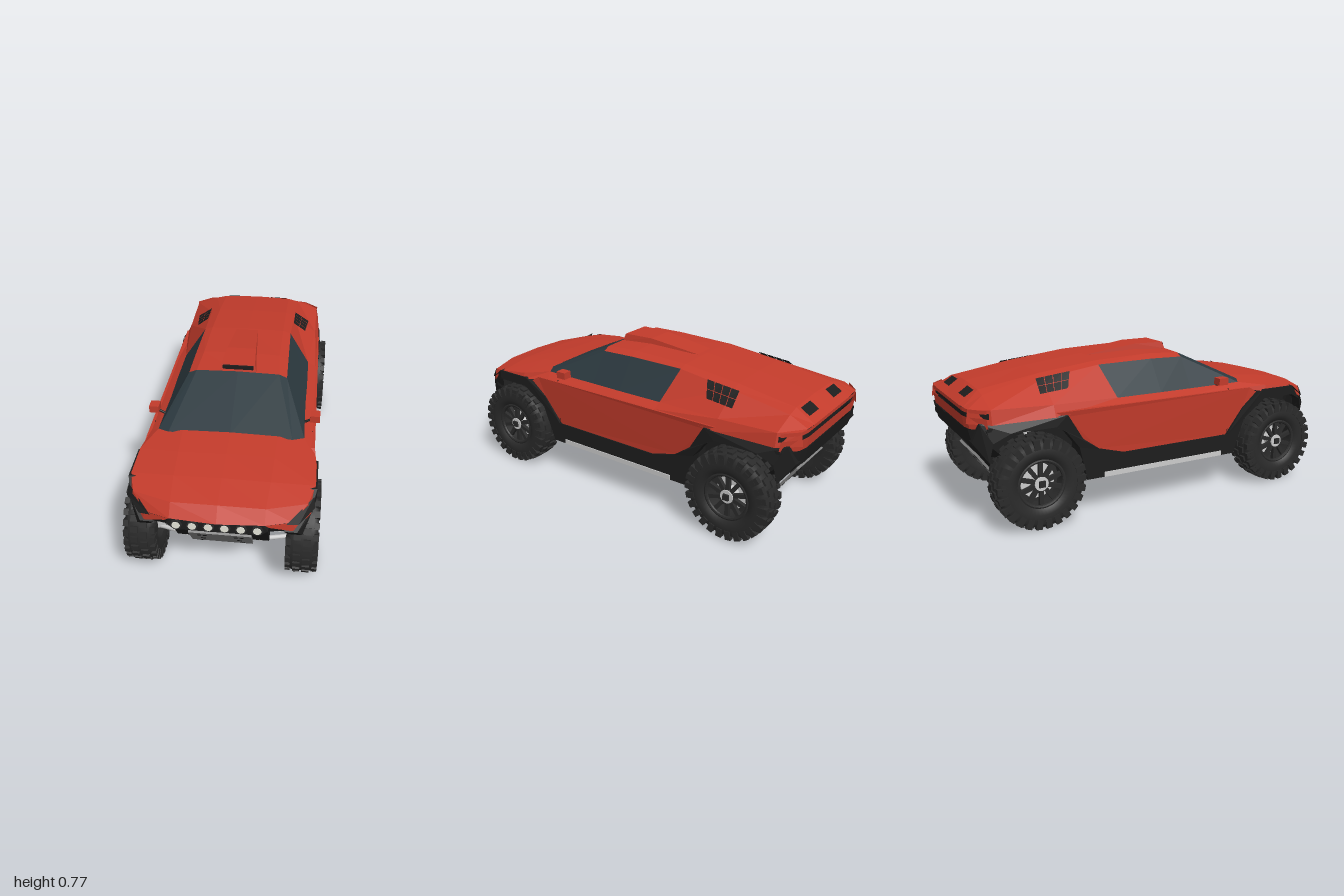
import * as THREE from 'three';
import { ConvexGeometry } from 'three/addons/geometries/ConvexGeometry.js';

const mat = (color, flatShading = true) =>
  new THREE.MeshStandardMaterial({ color, flatShading, side: THREE.DoubleSide });
const RED = mat(0xc23b2b), BLACK = mat(0x1d1d1d), GLASS = mat(0x2b383e), GREY = mat(0xcccccc, false);
const DARK = mat(0x2b2b2b), TYRE = mat(0x2a2a2a, false), PLATE = mat(0x808080), LAMP = mat(0xe8e8dc);
const V = (p) => new THREE.Vector3(...p);

export function createModel() {
  const car = new THREE.Group();
  car.name = 'rallyCar';

  const add = (name, geo, material, pos = [0, 0, 0], parent = car) => {
    const m = new THREE.Mesh(geo, material);
    m.name = name;
    m.position.set(...pos);
    parent.add(m);
    return m;
  };
  const box = (name, size, pos, material, parent) => add(name, new THREE.BoxGeometry(...size), material, pos, parent);
  const rod = (name, a, b, r, material, parent) => {
    const A = V(a), d = V(b).sub(A);
    const m = add(name, new THREE.CylinderGeometry(r, r, d.length(), 12), material, [0, 0, 0], parent);
    m.position.copy(A).addScaledVector(d, 0.5);
    m.quaternion.setFromUnitVectors(new THREE.Vector3(0, 1, 0), d.normalize());
  };
  // Panel stretched between two lines of points, made on both sides
  const panel = (name, a, b, material) => {
    for (const s of [1, -1]) {
      const [p, q] = (s > 0 ? [a, b] : [b, a]).map((l) => l.map(([x, y, z]) => [x * s, y, z]));
      const v = [];
      for (let i = 0; i < p.length - 1; i++) v.push(...p[i], ...q[i], ...p[i + 1], ...p[i + 1], ...q[i], ...q[i + 1]);
      const g = new THREE.BufferGeometry();
      g.setAttribute('position', new THREE.Float32BufferAttribute(v, 3));
      g.computeVertexNormals();
      add(name, g, material);
    }
  };
  // Half width of the flanks along the length
  const widths = [[-1, 0.31], [-0.93, 0.385], [-0.85, 0.405], [-0.58, 0.408], [-0.48, 0.395], [0.42, 0.395],
    [0.6, 0.425], [0.8, 0.425], [0.88, 0.4], [0.96, 0.34]];
  const halfWidth = (z) => {
    if (z <= widths[0][0]) return widths[0][1];
    for (let i = 1; i < widths.length; i++) {
      const [z0, w0] = widths[i - 1], [z1, w1] = widths[i];
      if (z <= z1) return w0 + (w1 - w0) * (z - z0) / (z1 - z0);
    }
    return widths[widths.length - 1][1];
  };
  const extrude = (pts, depth) => new THREE.ExtrudeGeometry(
    new THREE.Shape(pts.map((p) => new THREE.Vector2(...p))), { depth, bevelEnabled: false }).rotateY(-Math.PI / 2);
  // Side outline (z, y) that follows the flank, on both sides
  const flank = (name, pts, depth, inset, material) => {
    for (const s of [1, -1]) {
      const g = extrude(pts, depth), p = g.attributes.position;
      for (let i = 0; i < p.count; i++) p.setX(i, s * (p.getX(i) + halfWidth(p.getZ(i)) - inset));
      g.computeVertexNormals();
      add(name, g, material);
    }
  };

  // Bonnet and nose
  const bonnetMid = [[0, 0.46, 1], [0, 0.52, 0.945], [0, 0.553, 0.8], [0, 0.575, 0.65], [0, 0.59, 0.5]];
  const bonnetRidge = [[0.21, 0.46, 0.985], [0.21, 0.515, 0.94], [0.22, 0.55, 0.8], [0.225, 0.57, 0.65], [0.23, 0.585, 0.5]];
  const wing = [[0.33, 0.45, 0.94], [0.39, 0.51, 0.88], [0.42, 0.532, 0.78], [0.415, 0.55, 0.62], [0.355, 0.57, 0.48]];
  const wingHem = [[0.34, 0.405, 0.94], [0.405, 0.455, 0.88], [0.428, 0.51, 0.78], [0.425, 0.515, 0.62], [0.394, 0.545, 0.46]];
  panel('bonnet', bonnetMid, bonnetRidge, RED);
  panel('frontWingTop', bonnetRidge, wing, RED);
  panel('frontWingSide', wing, wingHem, RED);
  panel('noseCorner', [[0.21, 0.46, 0.985], [0.33, 0.45, 0.942]], [[0.23, 0.445, 0.98], [0.34, 0.4, 0.942]], RED);
  panel('headlight', [[0.30, 0.452, 0.962], [0.415, 0.528, 0.85]], [[0.355, 0.44, 0.942], [0.422, 0.48, 0.87]], BLACK);

  // Roof, buttresses and tail
  const roofMid = [[0, 0.74, 0.18], [0, 0.75, 0], [0, 0.737, -0.3], [0, 0.703, -0.6], [0, 0.657, -0.9], [0, 0.592, -0.995]];
  const roofRail = [[0.21, 0.735, 0.18], [0.2, 0.742, 0], [0.2, 0.732, -0.3], [0.2, 0.698, -0.6], [0.2, 0.65, -0.9], [0.2, 0.592, -0.995]];
  const roofEdge = [[0.25, 0.718, 0.18], [0.247, 0.722, 0], [0.242, 0.718, -0.3], [0.25, 0.68, -0.6], [0.26, 0.635, -0.9], [0.26, 0.59, -0.99]];
  const belt = [[0.35, 0.567, 0.18], [0.352, 0.567, 0], [0.35, 0.567, -0.25], [0.38, 0.58, -0.6], [0.38, 0.592, -0.9], [0.31, 0.588, -0.985]];
  const hem = [[0.394, 0.545, 0.18], [0.394, 0.545, 0], [0.394, 0.545, -0.25], [0.405, 0.525, -0.6], [0.395, 0.525, -0.9], [0.31, 0.525, -0.995]];
  panel('roof', roofMid, roofRail, RED);
  panel('roofRail', roofRail, roofEdge, RED);
  panel('rearButtress', roofEdge.slice(2), belt.slice(2), RED);
  panel('beltLine', [wing[4], ...belt], [wingHem[4], ...hem], RED);

  // Glass
  panel('windscreen', [roofMid[0], roofRail[0], roofEdge[0]], [[0, 0.585, 0.51], [0.3, 0.577, 0.51], wing[4]], GLASS);
  panel('sideWindow', [roofEdge[0], ...roofEdge.slice(0, 3)], [wing[4], ...belt.slice(0, 3)], GLASS);

  // Doors, arch trims and sills
  flank('door', [[0.52, 0.545], [-0.6, 0.545], [-0.54, 0.52], [-0.46, 0.4], [-0.38, 0.34], [-0.24, 0.3], [0.38, 0.3],
    [0.48, 0.44], [0.56, 0.52]], 0.04, 0.003, RED);
  flank('archTrim', [[0.95, 0.4], [0.88, 0.475], [0.8, 0.53], [0.6, 0.53], [0.48, 0.44], [0.39, 0.3], [-0.24, 0.3],
    [-0.37, 0.335], [-0.46, 0.4], [-0.54, 0.53], [-0.95, 0.53], [-0.98, 0.44], [-0.92, 0.35], [-0.9, 0.44],
    [-0.82, 0.48], [-0.6, 0.48], [-0.55, 0.45], [-0.48, 0.36], [-0.44, 0.19], [0.43, 0.19], [0.49, 0.38],
    [0.61, 0.48], [0.8, 0.48], [0.88, 0.44], [0.92, 0.36]], 0.06, -0.003, BLACK);
  for (const s of [1, -1]) {
    box('sillStrip', [0.03, 0.025, 0.7], [s * 0.388, 0.203, 0], GREY);
    box('doorSeam', [0.004, 0.25, 0.004], [s * 0.392, 0.425, 0.39], BLACK);
  }

  // Floor, centre tub and wheel wells
  box('floor', [0.77, 0.3, 0.86], [0, 0.34, -0.01], BLACK);
  add('tub', extrude([[0.94, 0.44], [0.9, 0.34], [0.79, 0.18], [-0.79, 0.18], [-0.9, 0.34], [-0.95, 0.44], [-0.95, 0.52],
    [0.85, 0.5]], 0.44), BLACK, [0.22, 0, 0]);
  box('frontWellTop', [0.8, 0.015, 0.4], [0, 0.49, 0.65], BLACK);
  box('rearWellTop', [0.77, 0.015, 0.4], [0, 0.5, -0.72], BLACK);

  // Front bumper with lamp bar
  panel('frontBumper', [[0, 0.46, 0.99], [0.22, 0.455, 0.975], [0.33, 0.42, 0.935], [0.4, 0.45, 0.885]],
    [[0, 0.39, 0.95], [0.22, 0.385, 0.94], [0.33, 0.365, 0.9], [0.39, 0.41, 0.88]], BLACK);
  panel('frontBumperUnder', [[0, 0.39, 0.95], [0.22, 0.385, 0.94], [0.33, 0.365, 0.9]],
    [[0, 0.4, 0.8], [0.22, 0.4, 0.8], [0.33, 0.42, 0.82]], BLACK);
  add('lampBar', new ConvexGeometry([[0.2, 0.458], [0.225, 0.43], [0.19, 0.4]].flatMap(([x, y]) =>
    [1, -1].flatMap((s) => [V([s * x, y, 0.985]), V([s * x, y, 0.93])]))), BLACK);
  for (let i = 0; i < 6; i++) {
    const x = (i - 2.5) * 0.0715;
    add('lampRing', new THREE.CylinderGeometry(0.026, 0.026, 0.02, 8).rotateX(Math.PI / 2), DARK, [x, 0.432, 0.983]);
    add('lamp', new THREE.CylinderGeometry(0.019, 0.019, 0.022, 8).rotateX(Math.PI / 2), LAMP, [x, 0.432, 0.985]);
  }

  // Tail: dark light slot, red band, black bumper
  const tail = (y, z, w = 0.31) => [[0, y, z], [w - 0.05, y, z], [w, y, z + 0.01], [w + 0.075, y, z + 0.075]];
  panel('tailLip', tail(0.592, -0.995), tail(0.575, -0.995), RED);
  panel('tailSlot', tail(0.577, -0.985), tail(0.55, -0.985), BLACK);
  panel('tailBand', tail(0.555, -0.997), tail(0.5, -0.99), RED);
  panel('rearBumper', tail(0.5, -0.998), tail(0.42, -0.98), BLACK);
  panel('rearBumperLower', tail(0.42, -0.98), tail(0.35, -0.91, 0.28), BLACK);

  // Slotted skid plates
  for (const s of [1, -1]) {
    const end = new THREE.Group(), plate = new THREE.Group();
    end.name = s > 0 ? 'frontSkidPlate' : 'rearSkidPlate';
    end.rotation.y = s > 0 ? 0 : Math.PI;
    plate.position.set(0, 0.245, 0.855);
    plate.rotation.x = 0.62;
    box('plate', [0.29, 0.172, 0.012], [0, 0, 0], PLATE, plate);
    for (const k of [1, -1]) for (const [x, y, w] of [[0.072, 0.05, 0.018], [0.098, 0.05, 0.018], [0.085, -0.017, 0.02], [0.1, -0.068, 0.014]])
      box('slot', [w, w * 1.3, 0.004], [k * x, y, 0.006], BLACK, plate);
    end.add(plate);
    car.add(end);
  }

  // Roof scoop, louvres and mirrors
  add('roofScoop', new ConvexGeometry([1, -1].flatMap((s) => [[0.093, 0.74, 0.175], [0.085, 0.774, 0.165], [0.075, 0.775, 0],
    [0.06, 0.738, -0.28], [0.08, 0.73, 0]].map(([x, y, z]) => V([s * x, y, z])))), RED);
  box('scoopIntake', [0.155, 0.02, 0.01], [0, 0.758, 0.17], BLACK);
  const [va, vb, vc, vd] = [[0.252, 0.703, -0.46], [0.255, 0.685, -0.64], [0.338, 0.626, -0.65], [0.322, 0.634, -0.5]].map(V);
  const ventAt = (u, v) => va.clone().lerp(vb, u).lerp(vd.clone().lerp(vc, u), v).toArray();
  for (let i = 0; i < 4; i++) for (let j = 0; j < 2; j++) {
    const [u0, u1, v0, v1] = [i / 4, i / 4 + 0.23, j / 2, j / 2 + 0.47];
    panel('sideLouvre', [ventAt(u0, v0), ventAt(u1, v0)], [ventAt(u0, v1), ventAt(u1, v1)], BLACK);
  }
  panel('deckVent', [[0.085, 0.649, -0.915], [0.185, 0.647, -0.915]], [[0.085, 0.618, -0.96], [0.185, 0.618, -0.96]], BLACK);
  for (const s of [1, -1]) {
    box('mirror', [0.048, 0.036, 0.055], [s * 0.402, 0.599, 0.335], RED);
    rod('mirrorStalk', [s * 0.35, 0.567, 0.34], [s * 0.4, 0.59, 0.335], 0.006, BLACK);
  }

  // Wheels with knobbly tyres and spoked rims, axle along x, outer face at +x
  const makeWheel = () => {
    const w = new THREE.Group();
    w.name = 'wheel';
    const prof = [[0.12, -0.06], [0.15, -0.072], [0.195, -0.07], [0.213, -0.05], [0.217, 0], [0.213, 0.05], [0.195, 0.07],
      [0.15, 0.072], [0.12, 0.06], [0.112, 0.04], [0.112, -0.04], [0.12, -0.06]].map((p) => new THREE.Vector2(...p));
    add('tyre', new THREE.LatheGeometry(prof, 48).rotateZ(-Math.PI / 2), TYRE, [0, 0, 0], w);
    for (let i = 0; i < 26; i++) for (const [x, r, sx, sy, off] of [[-0.062, 0.207, 0.024, 0.024, 0], [-0.022, 0.216, 0.034, 0.016, 0.5],
      [0.022, 0.216, 0.034, 0.016, 0], [0.062, 0.207, 0.024, 0.024, 0.5], [0.07, 0.185, 0.01, 0.025, 0.5], [-0.07, 0.185, 0.01, 0.025, 0]]) {
      const a = (i + off) / 26 * Math.PI * 2;
      box('treadBlock', [sx, sy, 0.03], [x, r * Math.cos(a), r * Math.sin(a)], TYRE, w).rotation.x = a;
    }
    add('rimLip', new THREE.TorusGeometry(0.113, 0.01, 8, 40).rotateY(Math.PI / 2), DARK, [0.052, 0, 0], w);
    add('brakeDisc', new THREE.CylinderGeometry(0.085, 0.085, 0.015, 32).rotateZ(Math.PI / 2), GREY, [-0.01, 0, 0], w);
    add('rimBack', new THREE.CylinderGeometry(0.115, 0.115, 0.01, 32).rotateZ(Math.PI / 2), DARK, [-0.03, 0, 0], w);
    for (let i = 0; i < 10; i++) {
      const a = i / 10 * Math.PI * 2;
      box('spoke', [0.02, 0.09, 0.02], [0.04, 0.068 * Math.cos(a), 0.068 * Math.sin(a)], DARK, w).rotation.x = a;
    }
    add('hub', new THREE.CylinderGeometry(0.034, 0.038, 0.08, 16).rotateZ(-Math.PI / 2), GREY, [0.015, 0, 0], w);
    box('hubCap', [0.02, 0.03, 0.03], [0.056, 0, 0], DARK, w);
    return w;
  };

  // Spring helix
  class Helix extends THREE.Curve {
    getPoint(t, out = new THREE.Vector3()) {
      const a = t * Math.PI * 14;
      return out.set(0.26 - 0.02 * t + 0.025 * Math.cos(a), 0.22 + 0.2 * t, 0.025 * Math.sin(a));
    }
  }

  // One corner: wheel, arms, axle and shock, turned round for the right side
  for (const [z, front] of [[0.705, true], [-0.69, false]]) for (const s of [1, -1]) {
    const corner = new THREE.Group();
    corner.name = front ? 'frontCorner' : 'rearCorner';
    corner.position.z = z;
    corner.rotation.y = s > 0 ? 0 : Math.PI;
    const wheel = makeWheel();
    wheel.position.set(0.375, 0.225, 0);
    corner.add(wheel);
    for (const k of [1, -1]) {
      rod('lowerArm', [0.17, 0.185, k * 0.08], [0.33, 0.155, k * 0.01], 0.011, GREY, corner);
      rod('upperArm', [0.19, 0.325, k * 0.06], [0.32, 0.345, k * 0.01], 0.008, GREY, corner);
    }
    rod('axle', [0.2, 0.225, 0], [0.36, 0.225, 0], 0.016, GREY, corner);
    box('upright', [0.035, 0.2, 0.05], [0.315, 0.25, 0], GREY, corner);
    rod('shock', [0.262, 0.17, 0], [0.238, 0.49, 0], 0.011, GREY, corner);
    rod('shockTop', [0.242, 0.43, 0], [0.238, 0.49, 0], 0.022, GREY, corner);
    add('spring', new THREE.TubeGeometry(new Helix(), 90, 0.005, 5), GREY, [0, 0, 0], corner);
    car.add(corner);
  }
  return car;
}
